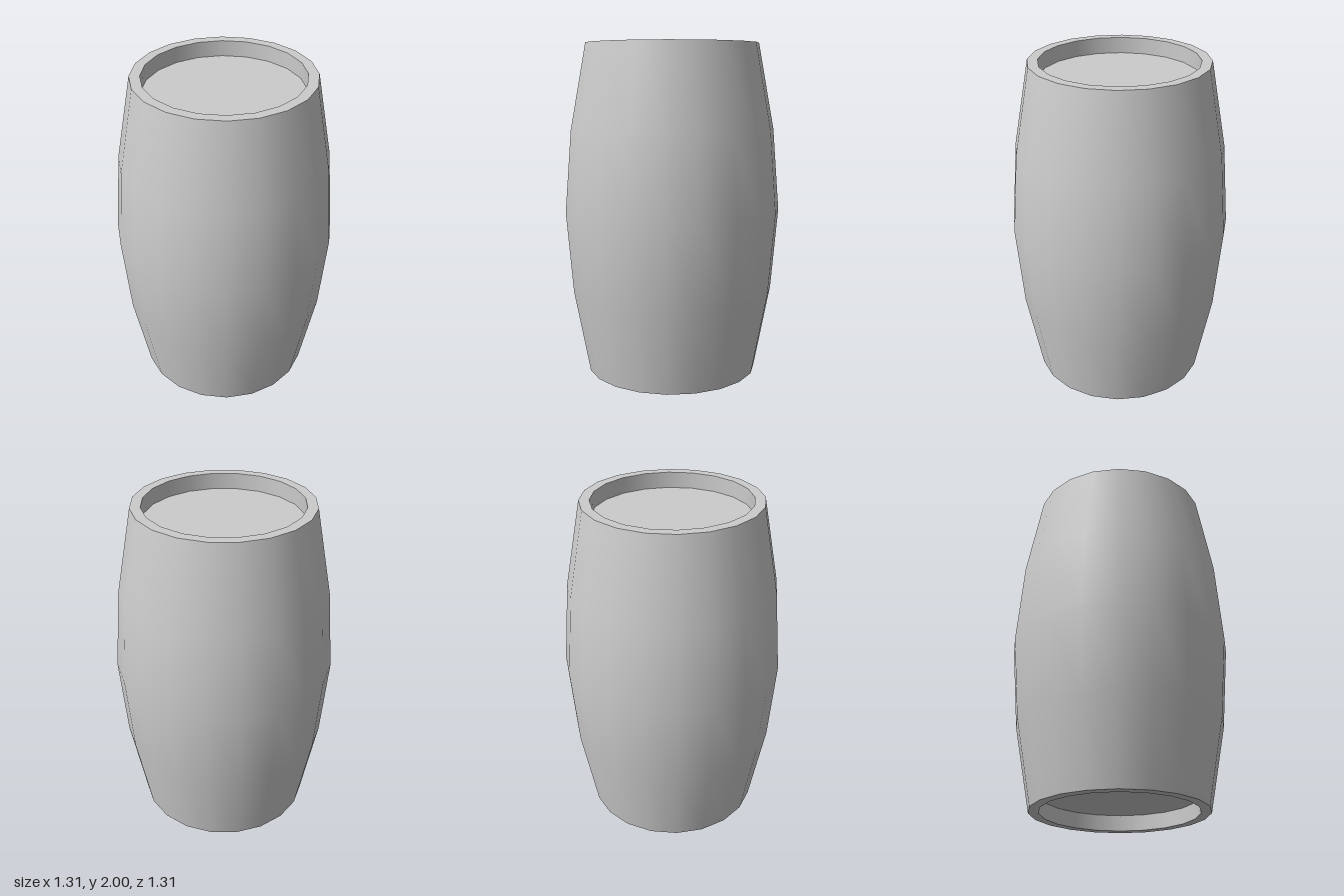
import * as THREE from 'three';

const SIDES = 20;
const material = new THREE.MeshStandardMaterial({ color: 0xcccccc });

// Revolve a profile of [radius, y] points; separate meshes keep the edges between them sharp
function revolve(name, profile) {
  const points = profile.map(([r, y]) => new THREE.Vector2(r, y));
  const mesh = new THREE.Mesh(new THREE.LatheGeometry(points, SIDES), material);
  mesh.name = name;
  return mesh;
}

// Rim, recess wall and lid of the upper end
function createEnd(name) {
  const end = new THREE.Group();
  end.name = name;
  const rimY = 1, lidY = 0.905, outer = 0.52, inner = 0.46;
  end.add(
    revolve('rim', [[outer, rimY], [inner, rimY]]),
    revolve('recessWall', [[inner, rimY], [inner, lidY]]),
    revolve('lid', [[inner, lidY], [0, lidY]])
  );
  return end;
}

export function createModel() {
  const barrel = new THREE.Group();
  barrel.name = 'barrel';

  // Bulging outer wall
  const body = revolve('staves', [[0.52, -1], [0.615, -0.49], [0.655, 0], [0.615, 0.49], [0.52, 1]]);

  // Matching recessed ends, the lower one turned over
  const top = createEnd('topEnd');
  const bottom = createEnd('bottomEnd');
  bottom.rotation.x = Math.PI;

  barrel.add(body, top, bottom);
  barrel.position.y = 1;

  const model = new THREE.Group();
  model.add(barrel);
  return model;
}
